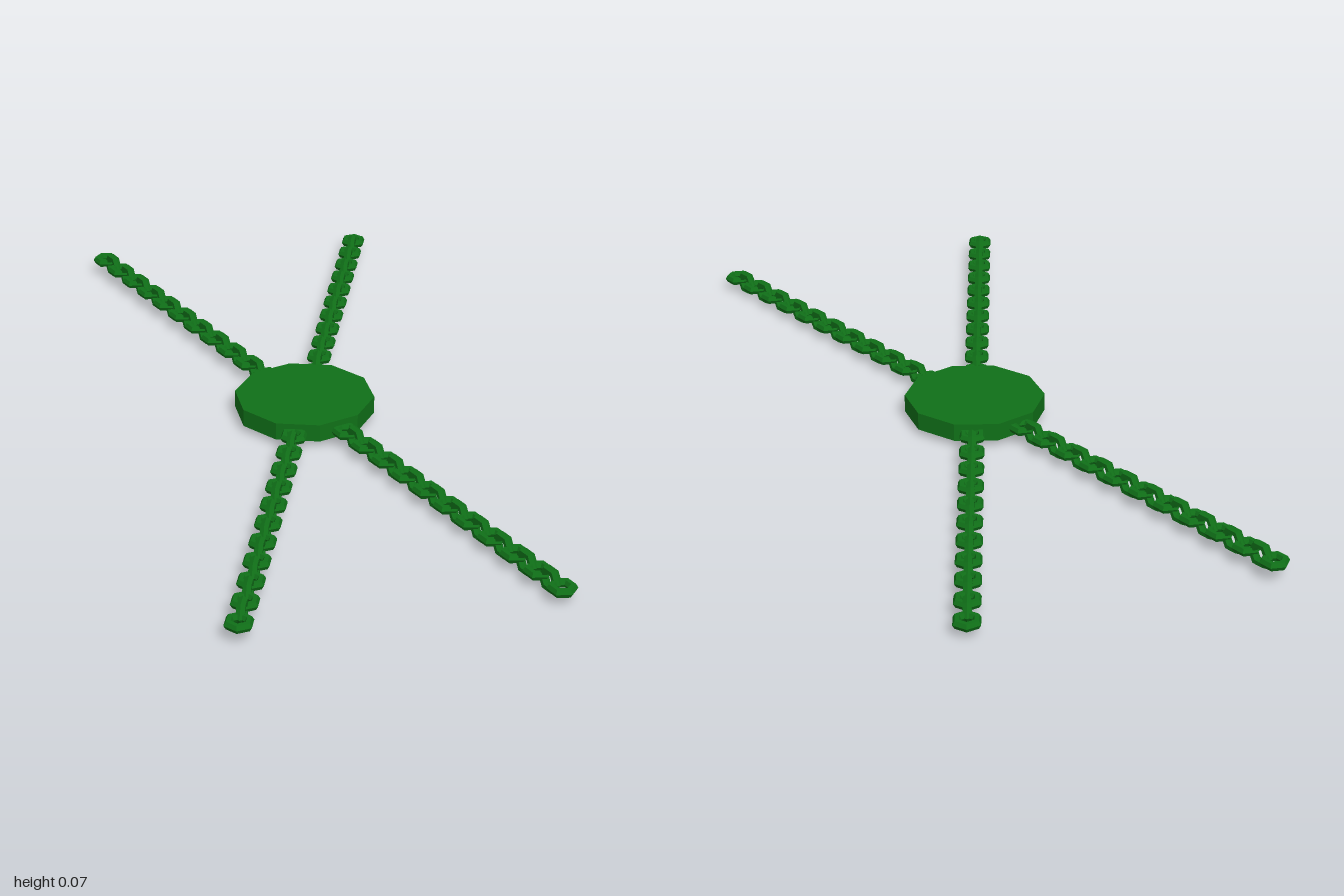
import * as THREE from 'three';

const LINKS = 21;                            // flat and upright links alternate
const INNER = new THREE.Vector2(0.0645, 0.169); // centre of first link (x, z)
const OUTER = new THREE.Vector2(0.355, 0.964);  // centre of last link (x, z)

export function createModel() {
  const model = new THREE.Group();
  model.name = 'discWithChains';
  const green = new THREE.MeshStandardMaterial({ color: 0x107018, flatShading: true });

  // Ten-sided hub with corners pointing to front and back
  const hub = new THREE.Mesh(new THREE.CylinderGeometry(0.173, 0.173, 0.044, 10), green);
  hub.name = 'hub';
  hub.position.set(0, 0.0365, -0.003);
  model.add(hub);

  // Hexagonal ring, one corner along the chain direction (local x)
  const linkGeometry = new THREE.TorusGeometry(0.024, 0.011, 6, 6);

  // The four chains share a slight sideways tilt
  const chains = new THREE.Group();
  chains.name = 'chains';
  chains.position.y = 0.0348;
  chains.rotation.z = -0.0125;
  model.add(chains);

  const step = OUTER.clone().sub(INNER).divideScalar(LINKS - 1);
  for (const sx of [1, -1]) {
    for (const sz of [1, -1]) {
      const chain = new THREE.Group();
      chain.name = (sz > 0 ? 'front' : 'back') + (sx > 0 ? 'Left' : 'Right') + 'Chain';
      chain.position.set(sx * INNER.x, 0, sz * INNER.y);
      chain.rotation.y = Math.atan2(-sz * step.y, sx * step.x);
      for (let i = 0; i < LINKS; i++) {
        const link = new THREE.Mesh(linkGeometry, green);
        link.name = i % 2 ? 'uprightLink' : 'flatLink';
        link.position.x = i * step.length();
        if (i % 2 === 0) link.rotation.x = Math.PI / 2;
        chain.add(link);
      }
      chains.add(chain);
    }
  }
  return model;
}
